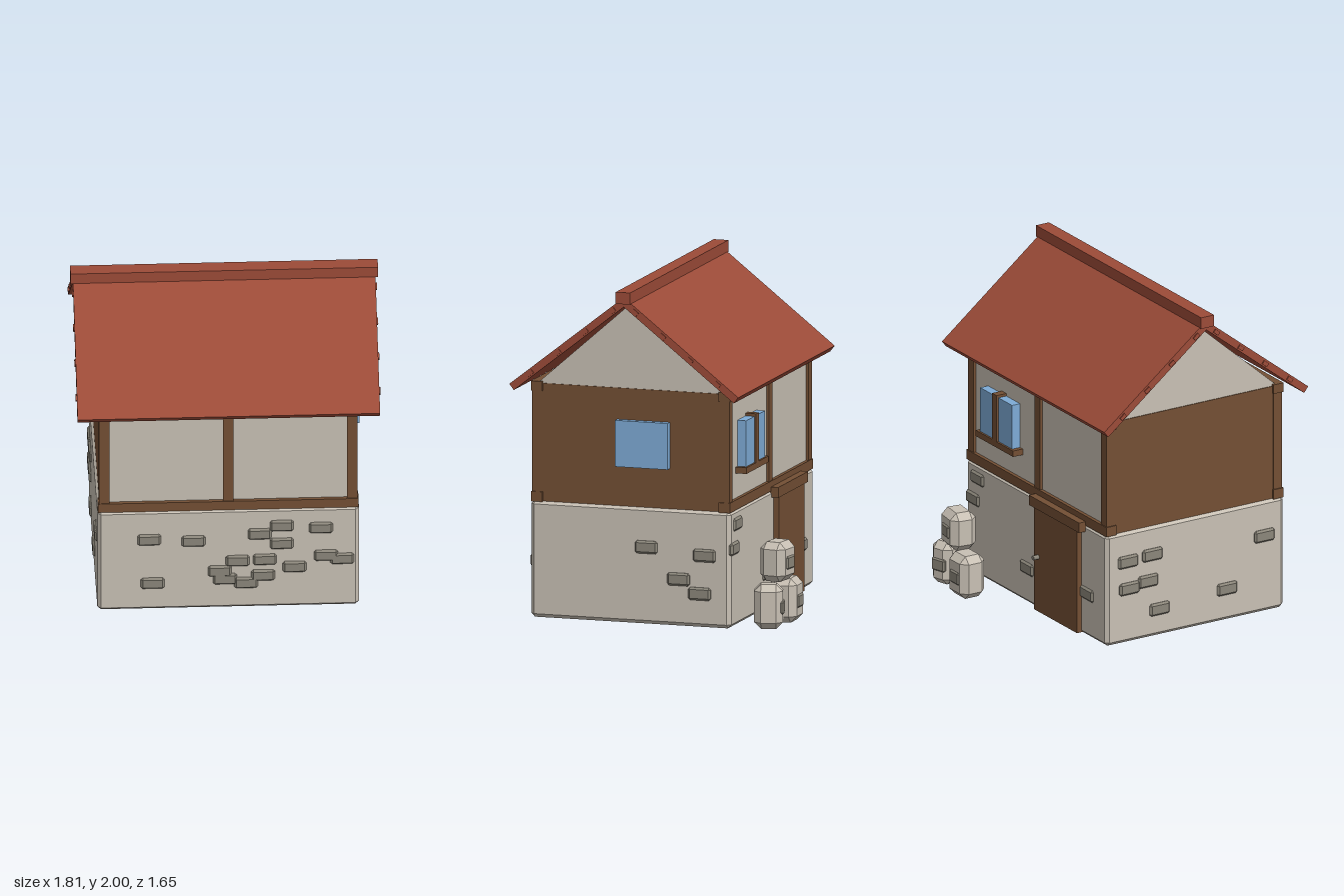
import * as THREE from 'three';
import { ConvexGeometry } from 'three/addons/geometries/ConvexGeometry.js';

const mat = (name, color) => new THREE.MeshStandardMaterial({ name, color });

export function createModel() {
  const plaster = mat('plaster', 0xc8c0b4);
  const timber = mat('timber', 0x734f34);
  const tile = mat('roofRed', 0x9c4b38);
  const glass = mat('windowBlue', 0x7eabd6);
  const stone = mat('stoneGrey', 0x8b867a);

  const house = new THREE.Group();
  house.name = 'house';
  const ZC = 0.11; // depth centre of the building

  function add(name, geometry, material, parent = house) {
    const mesh = new THREE.Mesh(geometry, material);
    mesh.name = name;
    parent.add(mesh);
    return mesh;
  }
  // box given by its limits on each axis
  function box(name, [x0, x1], [y0, y1], [z0, z1], material) {
    const mesh = add(name, new THREE.BoxGeometry(x1 - x0, y1 - y0, z1 - z0), material);
    mesh.position.set((x0 + x1) / 2, (y0 + y1) / 2, (z0 + z1) / 2);
    return mesh;
  }
  // box with all edges cut at 45 degrees
  function chamferBox(w, h, d, c) {
    const points = [];
    for (const x of [-1, 1]) for (const y of [-1, 1]) for (const z of [-1, 1]) {
      for (let full = 0; full < 3; full++) {
        points.push(new THREE.Vector3(
          x * (w / 2 - (full === 0 ? 0 : c)),
          y * (h / 2 - (full === 1 ? 0 : c)),
          z * (d / 2 - (full === 2 ? 0 : c))));
      }
    }
    return new ConvexGeometry(points);
  }

  // ground floor
  add('groundFloor', chamferBox(1.54, 0.7, 1.24, 0.022), plaster).position.set(0, 0.35, ZC);

  // wall stones: [position along wall, height]
  const brick = chamferBox(0.14, 0.077, 0.04, 0.012);
  const walls = {
    front: [[-0.465, 0.495], [-0.205, 0.48], [0.185, 0.52], [0.315, 0.575], [0.315, 0.45],
      [0.545, 0.555], [0.055, 0.335], [0.215, 0.34], [0.39, 0.285], [0.575, 0.36], [0.67, 0.335],
      [-0.445, 0.19], [-0.05, 0.265], [-0.02, 0.21], [0.205, 0.23], [0.105, 0.18]],
    back: [[0.64, 0.61], [0.69, 0.47], [0.1, 0.22], [-0.56, 0.27]],
    left: [[0.01, 0.46], [-0.35, 0.43], [-0.19, 0.28], [-0.32, 0.2]],
    right: [[-0.19, 0.52], [-0.36, 0.51], [-0.22, 0.36], [-0.35, 0.34], [-0.14, 0.17],
      [0.33, 0.2], [0.59, 0.48]],
  };
  for (const [side, list] of Object.entries(walls)) {
    for (const [along, y] of list) {
      const mesh = add(side + 'WallStone', brick, stone);
      if (side === 'front') mesh.position.set(along, y, 0.722);
      else if (side === 'back') mesh.position.set(along, y, -0.502);
      else {
        mesh.position.set(side === 'left' ? 0.765 : -0.765, y, along);
        mesh.rotation.y = Math.PI / 2;
      }
    }
  }

  // upper floor: plaster core with timber side walls
  box('upperFloor', [-0.74, 0.74], [0.69, 1.4], [-0.485, 0.705], plaster);
  for (const s of [-1, 1]) {
    box('sideWall', [s * 0.73 - 0.025, s * 0.73 + 0.025], [0.695, 1.4], [-0.5, 0.72], timber);
  }
  // timber frame on front and back
  for (const z of [0.692, -0.472]) {
    const depth = [z - 0.03, z + 0.03];
    for (const x of [-0.73, 0, 0.73]) box('post', [x - 0.03, x + 0.03], [0.7, 1.39], depth, timber);
    const beamDepth = [z - 0.035, z + 0.035];
    box('sillBeam', [-0.767, 0.767], [0.692, 0.752], beamDepth, timber);
    box('topBeam', [-0.767, 0.767], [1.355, 1.412], beamDepth, timber);
  }

  // gable prism
  const gable = new THREE.Shape([[-0.58, 1.4], [0.58, 1.4], [0, 1.91]].map((p) => new THREE.Vector2(...p)));
  const gableMesh = add('gable', new THREE.ExtrudeGeometry(gable, { depth: 1.5, bevelEnabled: false }), plaster);
  gableMesh.rotation.y = Math.PI / 2;
  gableMesh.position.set(-0.75, 0, ZC);

  // roof slopes with batten ends showing at the verge
  const pitch = Math.atan(0.786);
  const length = 0.71 / Math.cos(pitch);
  for (const s of [1, -1]) {
    const slope = new THREE.Group();
    slope.name = s > 0 ? 'frontRoof' : 'backRoof';
    slope.position.set(0, 1.968, ZC);
    slope.rotation.x = s * pitch;
    house.add(slope);
    add('roofSlab', new THREE.BoxGeometry(1.78, 0.045, length), tile, slope)
      .position.set(0, -0.0225, s * length / 2);
    for (const z of [0.085, 0.255, 0.425, 0.595]) {
      add('batten', new THREE.BoxGeometry(1.794, 0.024, 0.04), tile, slope)
        .position.set(0, -0.024, s * z / Math.cos(pitch));
    }
  }
  box('ridgeCap', [-0.905, 0.905], [1.93, 2], [ZC - 0.045, ZC + 0.045], tile);

  // windows
  box('sideWindow', [0.75, 0.795], [0.935, 1.212], [-0.13, 0.197], glass);
  box('backWindow', [0.215, 0.565], [0.935, 1.212], [-0.54, -0.48], glass);
  box('windowMullion', [0.365, 0.415], [0.93, 1.228], [-0.552, -0.48], timber);
  box('windowSill', [0.185, 0.595], [0.9, 0.937], [-0.552, -0.48], timber);

  // door
  box('door', [-0.5, -0.03], [0.01, 0.66], [-0.543, -0.5], timber);
  box('doorLintel', [-0.54, 0.01], [0.655, 0.717], [-0.553, -0.5], timber);
  const knob = add('doorKnob', new THREE.CylinderGeometry(0.014, 0.014, 0.04, 10), stone);
  knob.rotation.x = Math.PI / 2;
  knob.position.set(-0.075, 0.353, -0.56);

  // boulder pile: x, y, z, width, height, depth, turn
  const boulders = [
    [0.405, 0.133, -0.735, 0.19, 0.265, 0.17, 0],
    [0.655, 0.133, -0.71, 0.15, 0.265, 0.17, 0.3],
    [0.52, 0.382, -0.72, 0.2, 0.236, 0.165, -0.13],
  ];
  const patch = chamferBox(0.1, 0.08, 0.03, 0.01);
  for (const [x, y, z, w, h, d, turn] of boulders) {
    const boulder = new THREE.Group();
    boulder.name = 'boulder';
    boulder.position.set(x, y, z);
    boulder.rotation.y = turn;
    house.add(boulder);
    add('boulderBody', chamferBox(w, h, d, 0.04), plaster, boulder);
    add('boulderPatch', patch, stone, boulder).position.set(0, -0.005, -d / 2 + 0.006);
  }
  return house;
}
